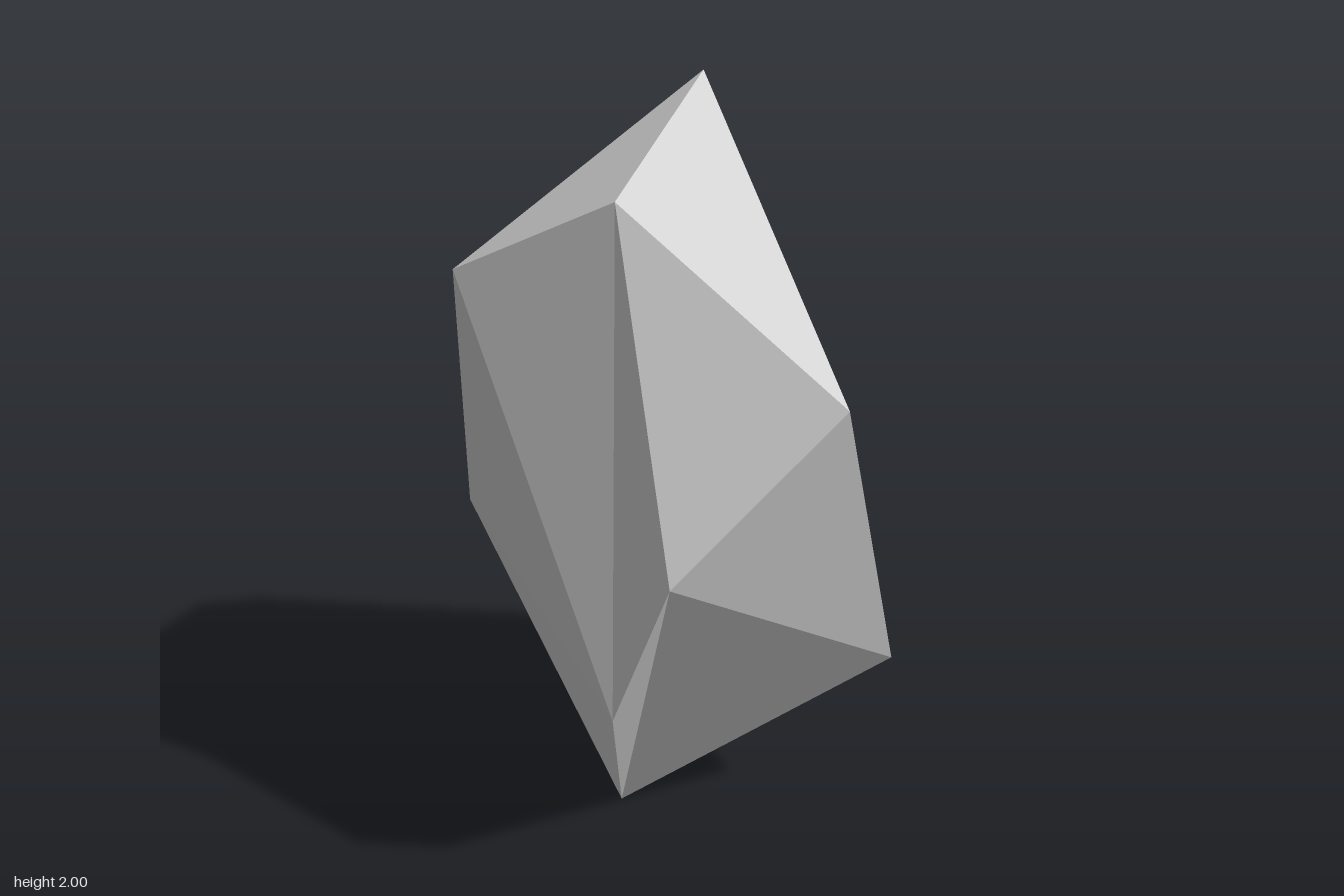
import * as THREE from 'three';

// A faceted rock: a tip, two irregular five-point rings and a foot, joined like an icosahedron.
export function createModel() {
  const tip = [0.115, 2, -0.05];
  const upperRing = [
    [-0.077, 1.457, 0.6], [0.445, 1.19, 0.025], [0.038, 1.267, -0.516],
    [-0.532, 1.677, -0.178], [-0.346, 1.89, 0.153],
  ];
  const lowerRing = [
    [0.276, 0.53, 0.478], [0.53, 0.51, -0.251], [-0.208, 0.722, -0.6],
    [-0.45, 0.587, 0.225], [-0.455, 1.08, 0.43],
  ];
  const foot = [-0.18, 0, -0.05];

  const points = [tip, ...upperRing, ...lowerRing, foot];
  const faces = [];
  for (let i = 0; i < 5; i++) {
    const next = (i + 1) % 5;
    const u = 1 + i, uNext = 1 + next, l = 6 + i, lNext = 6 + next;
    faces.push(0, u, uNext); // cap facet
    faces.push(u, l, uNext, uNext, l, lNext); // side facets
    faces.push(11, lNext, l); // underside facet
  }

  const indexed = new THREE.BufferGeometry();
  indexed.setAttribute('position', new THREE.Float32BufferAttribute(points.flat(), 3));
  indexed.setIndex(faces);
  const geometry = indexed.toNonIndexed();
  geometry.computeVertexNormals();

  const rock = new THREE.Mesh(
    geometry,
    new THREE.MeshStandardMaterial({ color: 0xcccccc, flatShading: true }),
  );
  rock.name = 'rock';

  const group = new THREE.Group();
  group.name = 'facetedRock';
  group.add(rock);
  return group;
}
